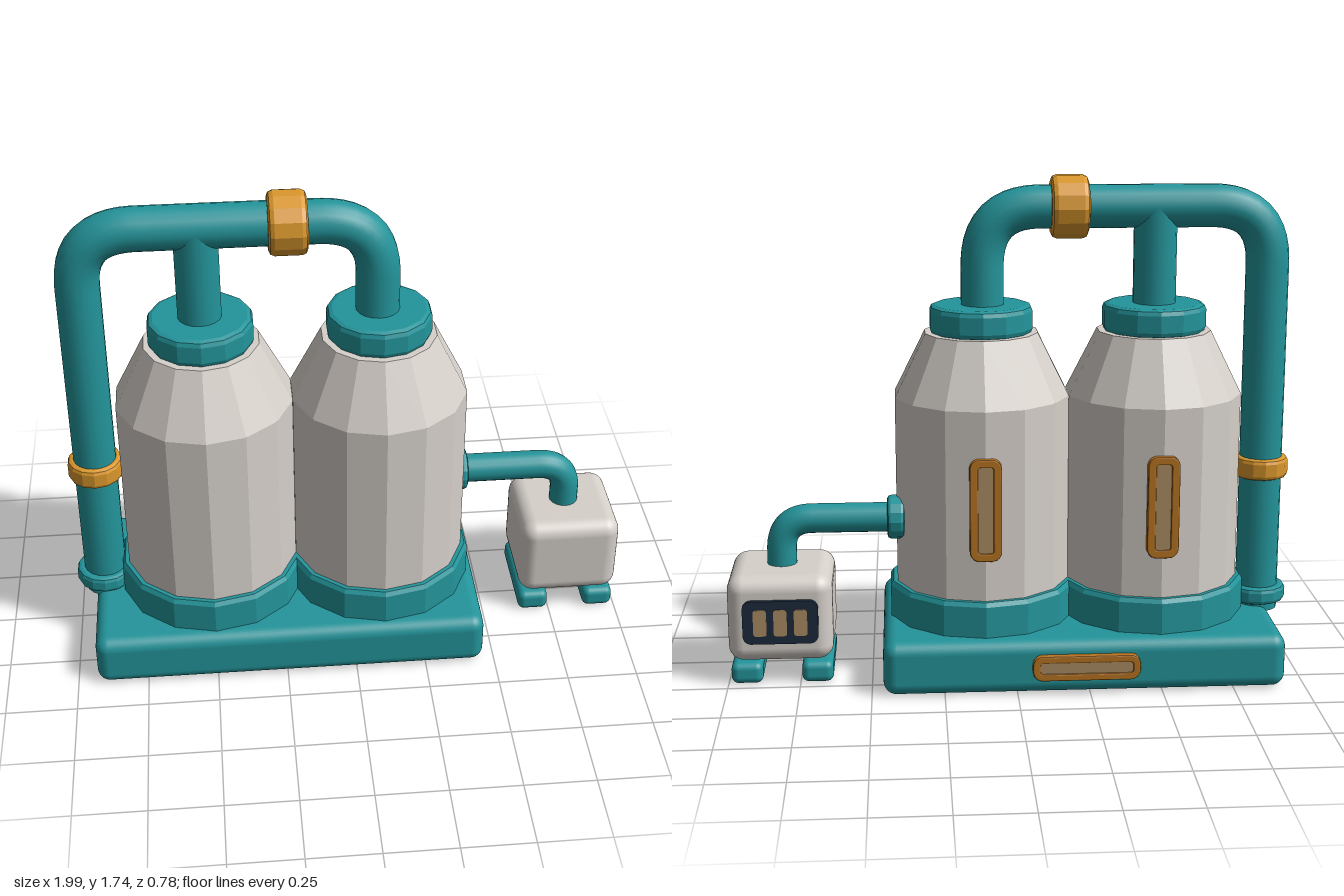
import * as THREE from 'three';
import { toCreasedNormals } from 'three/addons/utils/BufferGeometryUtils.js';
import { RoundedBoxGeometry } from 'three/addons/geometries/RoundedBoxGeometry.js';

const SIDES = 14;
const mat = (name, color) => {
  const m = new THREE.MeshStandardMaterial({ color });
  m.name = name;
  return m;
};
const V = (x, y, z) => new THREE.Vector3(x, y, z);

export function createModel() {
  const teal = mat('teal', 0x23959b);
  const grey = mat('warm grey', 0xd6d0ca);
  const orange = mat('orange', 0xdb982c);
  const bronze = mat('bronze', 0xb87420);
  const tan = mat('tan', 0xab8d63);
  const navy = mat('navy', 0x1c2a3c);

  const model = new THREE.Group();
  model.name = 'twinTankUnit';

  const add = (name, geo, material, x = 0, y = 0, z = 0, parent = model) => {
    const mesh = new THREE.Mesh(geo, material);
    mesh.name = name;
    mesh.position.set(x, y, z);
    parent.add(mesh);
    return mesh;
  };

  // Box given by its extents, with rounded edges
  const block = (name, material, [x0, x1], [y0, y1], [z0, z1], r) =>
    add(name, new RoundedBoxGeometry(x1 - x0, y1 - y0, z1 - z0, 4, r), material,
      (x0 + x1) / 2, (y0 + y1) / 2, (z0 + z1) / 2);

  // Faceted turned shape from [radius, height] pairs, bottom to top
  const turned = (points, crease = 0.2) => toCreasedNormals(
    new THREE.LatheGeometry(points.map(([r, y]) => new THREE.Vector2(r, y)), SIDES), crease);

  // Bevelled disc, centred on its own axis
  const collar = (r, h, b) => turned([
    [0, -h / 2], [r - b, -h / 2], [r - b * 0.3, -h / 2 + b * 0.3], [r, -h / 2 + b],
    [r, h / 2 - b], [r - b * 0.3, h / 2 - b * 0.3], [r - b, h / 2], [0, h / 2]]);

  // Pipe through straight runs with rounded corners
  const pipe = (name, points, r, bend) => {
    const path = new THREE.CurvePath();
    let from = points[0];
    for (let i = 1; i < points.length - 1; i++) {
      const p = points[i];
      const a = p.clone().add(points[i - 1].clone().sub(p).setLength(bend));
      const b = p.clone().add(points[i + 1].clone().sub(p).setLength(bend));
      path.add(new THREE.LineCurve3(from, a));
      path.add(new THREE.QuadraticBezierCurve3(a, p, b));
      from = b;
    }
    path.add(new THREE.LineCurve3(from, points[points.length - 1]));
    add(name, new THREE.TubeGeometry(path, 90, r, 18), teal);
  };

  // Rounded rectangle outline
  const outline = (w, h, r, Type = THREE.Shape) => {
    const s = new Type();
    const x = w / 2 - r, y = h / 2 - r;
    s.absarc(x, y, r, 0, Math.PI / 2);
    s.absarc(-x, y, r, Math.PI / 2, Math.PI);
    s.absarc(-x, -y, r, Math.PI, Math.PI * 1.5);
    s.absarc(x, -y, r, Math.PI * 1.5, Math.PI * 2);
    s.closePath();
    return s;
  };
  const plate = (w, h, r, depth) => new THREE.ExtrudeGeometry(outline(w, h, r),
    { depth, bevelEnabled: false, curveSegments: 6 });

  // Framed window facing the back; z is its outermost face
  const framedWindow = (name, x, y, z, w, h, rim, depth) => {
    const group = new THREE.Group();
    group.name = name;
    group.position.set(x, y, z);
    group.rotation.y = Math.PI;
    model.add(group);
    const bevel = 0.005;
    const ring = outline(w - 2 * bevel, h - 2 * bevel, 0.03);
    ring.holes.push(outline(w - 2 * rim, h - 2 * rim, 0.015, THREE.Path));
    add('windowFrame', new THREE.ExtrudeGeometry(ring, {
      depth: depth - bevel, bevelThickness: bevel, bevelSize: bevel,
      bevelSegments: 2, curveSegments: 6 }), bronze, 0, 0, -depth, group);
    add('windowPane', plate(w - rim, h - rim, 0.02, 0.006), tan, 0, 0, -0.011, group);
  };

  // Base
  block('base', teal, [-0.93, 0.46], [0, 0.19], [-0.37, 0.388], 0.045);
  framedWindow('baseWindow', -0.235, 0.1, -0.392, 0.37, 0.09, 0.021, 0.035);

  // Tanks
  for (const x of [-0.5, 0.105]) {
    const z = 0.015;
    add('tankBody', turned([[0.31, 0.28], [0.31, 0.98], [0.2, 1.2], [0, 1.2]]), grey, x, 0, z);
    add('tankFootRing', turned([[0.335, 0.18], [0.335, 0.3], [0.325, 0.315], [0.29, 0.315]]), teal, x, 0, z);
    add('tankCap', collar(0.182, 0.1, 0.02), teal, x, 1.245, z);
    framedWindow('tankWindow', x, 0.64, -0.307, 0.11, 0.36, 0.024, 0.035);
  }

  // Overhead pipe with its branch, foot flange and clamps
  const pz = 0.015, px = -0.895;
  pipe('mainPipe', [V(px, 0.18, pz), V(px, 1.63, pz), V(0.1, 1.63, pz), V(0.1, 1.27, pz)], 0.075, 0.2);
  add('branchPipe', new THREE.CylinderGeometry(0.075, 0.075, 0.36, 18), teal, -0.5, 1.45, pz);
  add('pipeEnd', new THREE.CylinderGeometry(0.075, 0.075, 0.05, 18), teal, px, 0.195, pz);
  add('pipeFlange', collar(0.103, 0.06, 0.015), teal, px, 0.23, pz);
  add('pipeClamp', collar(0.097, 0.075, 0.015), orange, px, 0.7, pz);
  add('pipeClamp', collar(0.11, 0.13, 0.02), orange, -0.2, 1.63, pz).rotation.z = Math.PI / 2;

  // Outlet pipe to the pump box
  pipe('outletPipe', [V(0.37, 0.552, -0.055), V(0.812, 0.552, -0.055), V(0.812, 0.36, -0.055)], 0.052, 0.11);
  add('outletFlange', collar(0.077, 0.06, 0.012), teal, 0.41, 0.552, -0.055).rotation.z = Math.PI / 2;

  // Pump box on two skids
  block('pumpBox', grey, [0.633, 0.997], [0.083, 0.392], [-0.237, 0.13], 0.055);
  for (const x of [0.635, 0.88]) block('skid', teal, [x, x + 0.11], [0, 0.076], [-0.22, 0.12], 0.025);

  // Back panel with three small gauges
  add('gaugePanel', plate(0.26, 0.155, 0.03, 0.02), navy, 0.812, 0.238, -0.252);
  for (const i of [-1, 0, 1])
    add('gauge', plate(0.046, 0.095, 0.01, 0.006), tan, 0.812 + i * 0.07, 0.238, -0.256);

  return model;
}
